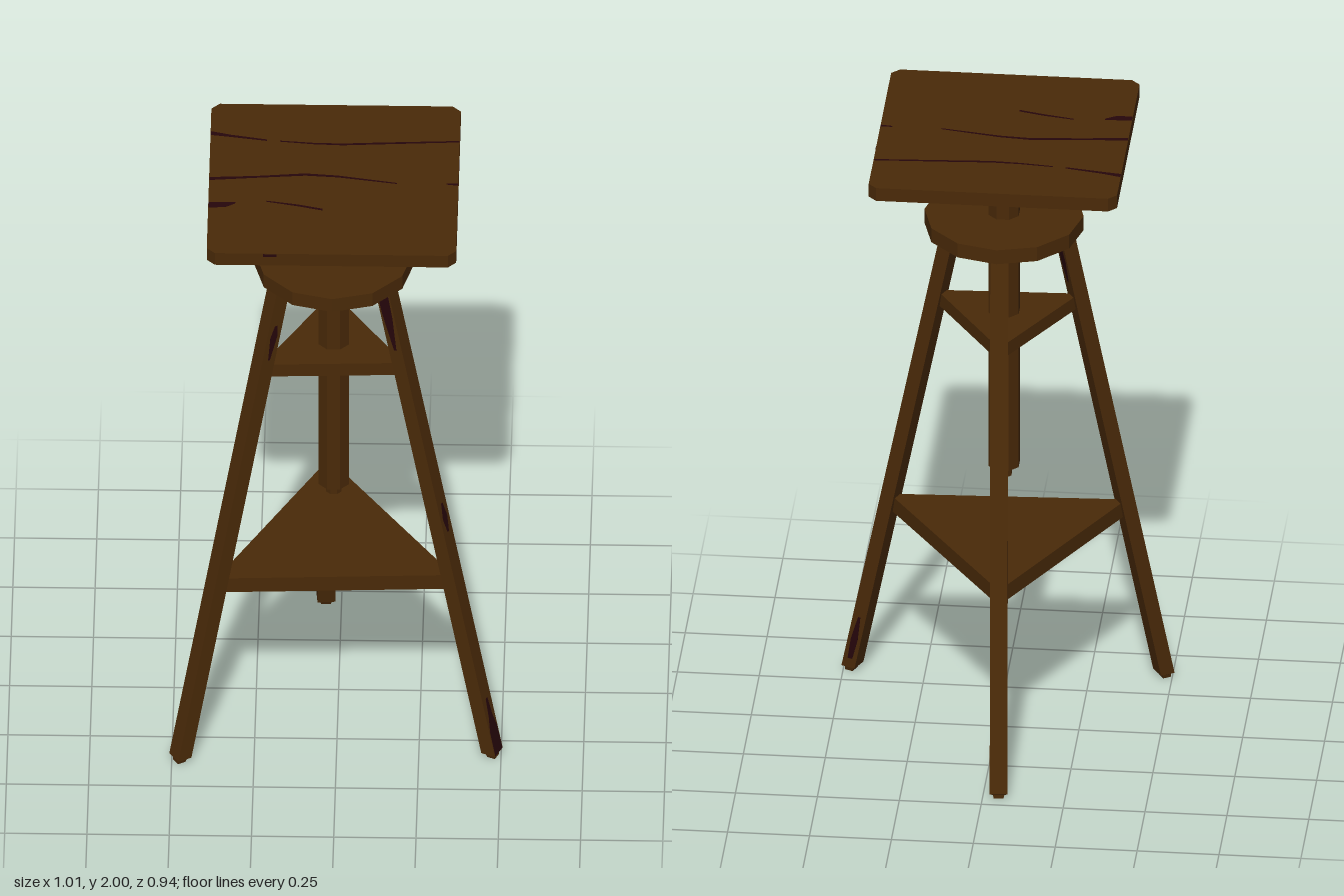
import * as THREE from 'three';

const CX = -0.013, CZ = 0.09; // central axis of the stand

export function createModel() {
  const model = new THREE.Group();
  const wood = new THREE.MeshStandardMaterial({ color: 0x4a2a08 });
  wood.name = 'brown wood';
  const stain = new THREE.MeshStandardMaterial({ color: 0x26060b });
  stain.name = 'dark stain';

  const add = (name, geometry, material = wood) => {
    const flat = geometry.index ? geometry.toNonIndexed() : geometry;
    flat.computeVertexNormals(); // crisp facets
    const mesh = new THREE.Mesh(flat, material);
    mesh.name = name;
    model.add(mesh);
    return mesh;
  };

  // Horizontal slab from an [x, z] outline, hanging down from y = top
  const slab = (outline, top, depth) => {
    const shape = new THREE.Shape(outline.map(([x, z]) => new THREE.Vector2(x, z)));
    return new THREE.ExtrudeGeometry(shape, { depth, bevelEnabled: false })
      .rotateX(Math.PI / 2).translate(0, top, 0);
  };

  // Square top with clipped corners
  const x0 = -0.392, x1 = 0.366, z0 = -0.29, z1 = 0.469, c = 0.025;
  add('tableTop', slab([
    [x0 + c, z0], [x1 - c, z0], [x1, z0 + c], [x1, z1 - c],
    [x1 - c, z1], [x0 + c, z1], [x0, z1 - c], [x0, z0 + c],
  ], 1.999, 0.044));

  // Grain streaks: tapering ribbons along [x, z, half width] points
  const streaks = [
    [[-0.391, -0.14, 0.009], [-0.33, -0.127, 0.005], [-0.22, -0.107, 0.003]],
    [[-0.18, -0.103, 0.002], [-0.08, -0.093, 0.003], [0.01, -0.09, 0.004], [0.12, -0.097, 0.004], [0.365, -0.111, 0.003]],
    [[-0.391, 0.091, 0.007], [-0.25, 0.08, 0.004], [-0.1, 0.065, 0.005], [0, 0.073, 0.004], [0.18, 0.105, 0.002]],
    [[-0.391, 0.225, 0.013], [-0.34, 0.222, 0.012], [-0.31, 0.213, 0.003]],
    [[-0.215, 0.203, 0.002], [-0.12, 0.222, 0.004], [-0.045, 0.242, 0.004]],
    [[0.33, 0.105, 0.002], [0.365, 0.107, 0.005]],
  ];
  for (const s of streaks) {
    const near = s.map(([x, z, w]) => [x, z - w]);
    const far = s.map(([x, z, w]) => [x, z + w]).reverse();
    add('grainStreak', slab([...near, ...far], 2, 0.002), stain);
  }

  // Stains on the rim and underside of the top
  add('rimStain', new THREE.BoxGeometry(0.002, 0.042, 0.018).translate(x1, 1.977, -0.03), stain);
  add('rimStain', new THREE.BoxGeometry(0.04, 0.01, 0.002).translate(-0.2, 1.992, z1), stain);
  add('undersideStain', slab([
    [x1 - 0.08, z0 + 0.015], [x1 - 0.03, z0 + 0.01], [x1 - 0.01, z0 + 0.03], [x1 - 0.015, z0 + 0.09], [x1 - 0.06, z0 + 0.06],
  ], 1.956, 0.002), stain);

  // Collar disc, octagonal column and its end pin
  const round = (name, radius, y0, y1, sides, start) => add(name,
    new THREE.CylinderGeometry(radius, radius, y1 - y0, sides, 1, false, start)
      .translate(CX, (y0 + y1) / 2, CZ));
  round('collarDisc', 0.243, 1.68, 1.728, 12, 0);
  round('column', 0.05, 0.86, 1.96, 8, Math.PI / 8);
  round('columnPin', 0.025, 0.825, 0.87, 8, Math.PI / 8);

  // Stains on column facets: [facet angle from +z, bottom, top, width]
  const facet = 0.05 * Math.cos(Math.PI / 8);
  for (const [angle, y0, y1, w] of [
    [Math.PI, 0.89, 1.06, 0.022],
    [-Math.PI / 2, 1.76, 1.94, 0.022],
    [-Math.PI / 4, 1.88, 1.95, 0.014],
  ]) {
    add('columnStain', new THREE.BoxGeometry(w, y1 - y0, 0.002)
      .translate(0, (y0 + y1) / 2, facet).rotateY(angle).translate(CX, 0, CZ), stain);
  }

  // Legs: ground point and top point in [x, z]
  const LEG_TOP = 1.69, HR = 0.023, HT = 0.027;
  const back = { name: 'backLeg', foot: [-0.048, -0.446], head: [-0.015, -0.085] };
  const left = { name: 'leftLeg', foot: [0.476, 0.325], head: [0.14, 0.17] };
  const right = { name: 'rightLeg', foot: [-0.477, 0.37], head: [-0.173, 0.181] };
  const legs = [back, left, right];
  const axisAt = (leg, y) => [0, 1].map(i => leg.foot[i] + (leg.head[i] - leg.foot[i]) * y / LEG_TOP);

  // Leaning block with level ends; rows are [y, half radial, half tangential]
  const leaning = (leg, rows, offR = 0, offT = 0) => {
    const dir = new THREE.Vector2(leg.foot[0] - leg.head[0], leg.foot[1] - leg.head[1]).normalize();
    const n = rows.length - 1;
    const geometry = new THREE.BoxGeometry(2, n, 2, 1, n, 1);
    const p = geometry.attributes.position;
    for (let i = 0; i < p.count; i++) {
      const [y, hr, ht] = rows[Math.round(p.getY(i) + n / 2)];
      const r = p.getX(i) * hr + offR, t = p.getZ(i) * ht + offT;
      const [ax, az] = axisAt(leg, y);
      p.setXYZ(i, ax + dir.x * r - dir.y * t, y, az + dir.y * r + dir.x * t);
    }
    return geometry;
  };
  for (const leg of legs) {
    add(leg.name, leaning(leg, [
      [0, HR * 0.55, HT * 0.55], [0.012, HR * 0.65, HT * 0.65], [0.018, HR, HT], [LEG_TOP, HR, HT],
    ]));
  }

  // Leg stains: thin plates on one face, rows are [y, half width]
  const radialStain = (leg, side, rows) =>
    add('legStain', leaning(leg, rows.map(([y, w]) => [y, 0.001, w]), side * HR), stain);
  const sideStain = (leg, side, rows) =>
    add('legStain', leaning(leg, rows.map(([y, w]) => [y, w, 0.001]), 0, side * HT), stain);
  radialStain(left, 1, [[0.02, 0.024], [0.1, 0.023], [0.15, 0.011], [0.21, 0.005]]);
  radialStain(left, 1, [[0.8, 0.004], [0.85, 0.014], [0.9, 0.004]]);
  sideStain(left, 1, [[1.45, 0.004], [1.57, 0.016], [1.675, 0.019]]);
  sideStain(left, -1, [[0.05, 0.008], [0.12, 0.012], [0.2, 0.004]]);
  sideStain(right, -1, [[1.42, 0.003], [1.5, 0.012], [1.54, 0.004]]);
  radialStain(right, -1, [[1.44, 0.004], [1.52, 0.016], [1.6, 0.006]]);
  radialStain(back, -1, [[0.1, 0.004], [0.14, 0.012], [0.18, 0.004]]);

  // Triangular shelves spanning the three legs
  for (const [name, top, depth] of [['upperShelf', 1.39, 0.045], ['lowerShelf', 0.64, 0.052]]) {
    add(name, slab(legs.map(leg => axisAt(leg, top - depth / 2)), top, depth));
  }
  return model;
}
